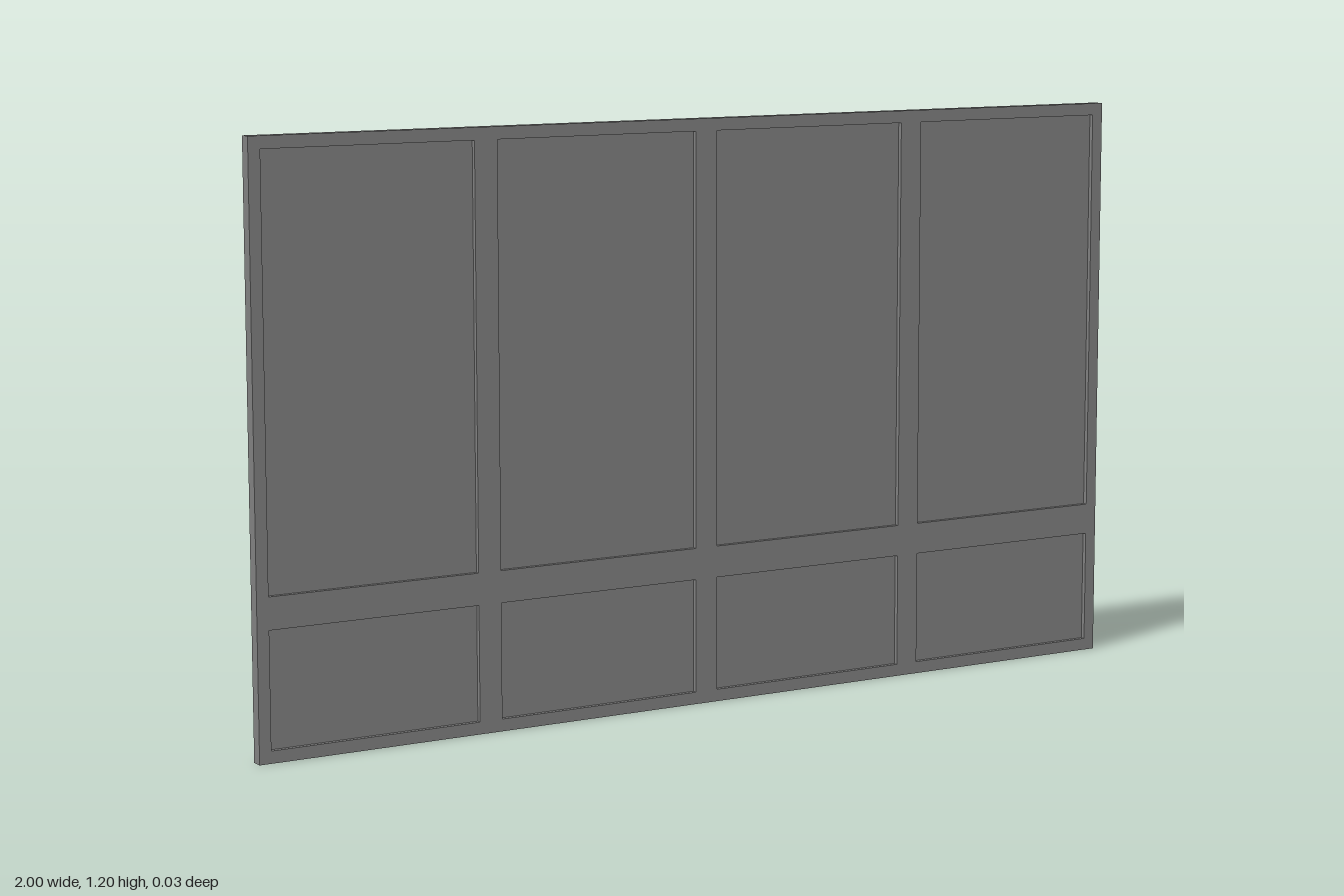
import * as THREE from 'three';

const WIDTH = 2, HEIGHT = 1.2, DEPTH = 0.025, PANEL_DEPTH = 0.006;
const COLUMNS = 4, OPENING_WIDTH = 0.45;
const ROWS = [[0.025, 0.26], [0.325, 1.175]]; // bottom and top of each row of openings

// Adds a rectangle's outline to a shape or path
function rectangle(path, x0, y0, x1, y1) {
  path.moveTo(x0, y0);
  path.lineTo(x1, y0);
  path.lineTo(x1, y1);
  path.lineTo(x0, y1);
  path.closePath();
  return path;
}

export function createModel() {
  const group = new THREE.Group();
  group.name = 'panelledWall';
  const grey = new THREE.MeshStandardMaterial({ color: 0x808080 });
  grey.name = 'grey';

  const outline = rectangle(new THREE.Shape(), -WIDTH / 2, 0, WIDTH / 2, HEIGHT);
  const pitch = WIDTH / COLUMNS;

  for (let column = 0; column < COLUMNS; column++) {
    const x = -WIDTH / 2 + pitch * (column + 0.5);
    ROWS.forEach(([bottom, top], row) => {
      // Opening through the frame
      outline.holes.push(rectangle(new THREE.Path(),
        x - OPENING_WIDTH / 2, bottom, x + OPENING_WIDTH / 2, top));

      // Thin panel, recessed on both sides
      const panel = new THREE.Mesh(
        new THREE.BoxGeometry(OPENING_WIDTH, top - bottom, PANEL_DEPTH), grey);
      panel.name = `${row ? 'upper' : 'lower'}Panel${column + 1}`;
      panel.position.set(x, (bottom + top) / 2, 0);
      group.add(panel);
    });
  }

  // Frame with stiles and rails in one piece
  const geometry = new THREE.ExtrudeGeometry(outline, { depth: DEPTH, bevelEnabled: false });
  geometry.translate(0, 0, -DEPTH / 2);
  const frame = new THREE.Mesh(geometry, grey);
  frame.name = 'frame';
  group.add(frame);

  return group;
}
